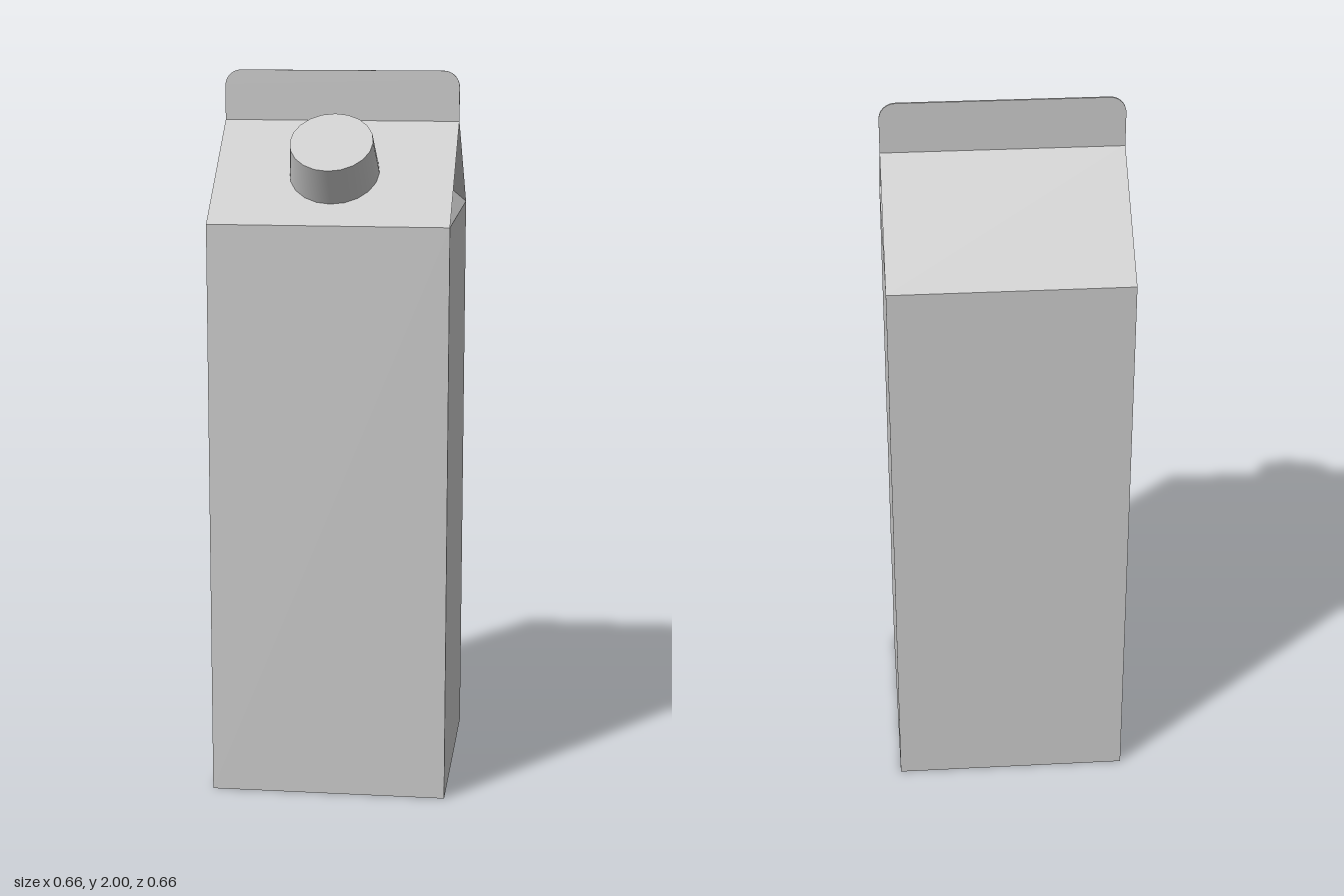
import * as THREE from 'three';

const HALF = 0.328; // half width of the square carton
const EAVE = 1.605; // top of the straight walls
const RIDGE = 1.863; // height of the gable ridge
const FOLD = 0.08; // how near the centre the side gussets fold in

const grey = () => new THREE.MeshStandardMaterial({ color: 0xcccccc });

function add(parent, name, geometry, material = grey()) {
  const mesh = new THREE.Mesh(geometry, material);
  mesh.name = name;
  parent.add(mesh);
  return mesh;
}

// Thin flat panel from a fan of corners, counter-clockwise from outside
function panel(corners) {
  const points = [];
  for (let i = 1; i < corners.length - 1; i++) {
    points.push(...corners[0], ...corners[i], ...corners[i + 1]);
  }
  const geometry = new THREE.BufferGeometry();
  geometry.setAttribute('position', new THREE.Float32BufferAttribute(points, 3));
  geometry.computeVertexNormals();
  return geometry;
}

export function createModel() {
  const carton = new THREE.Group();
  carton.name = 'carton';
  const card = grey();
  card.side = THREE.DoubleSide;

  // Straight-walled body
  const body = add(carton, 'body', new THREE.BoxGeometry(HALF * 2, EAVE, HALF * 2));
  body.position.y = EAVE / 2;

  // Sloping roof panels, and side gussets folded in beneath them
  const slope = panel([
    [-HALF, EAVE, HALF], [HALF, EAVE, HALF], [HALF, RIDGE, 0], [-HALF, RIDGE, 0],
  ]);
  const gusset = panel([[HALF, EAVE, HALF], [HALF, EAVE, -HALF], [FOLD, RIDGE, 0]]);
  for (const [side, turn] of [['front', 0], ['back', Math.PI]]) {
    add(carton, side + 'Roof', slope, card).rotation.y = turn;
  }
  for (const [side, turn] of [['left', 0], ['right', Math.PI]]) {
    add(carton, side + 'Gusset', gusset, card).rotation.y = turn;
  }

  // Upright sealed fin with rounded upper corners
  const r = 0.045;
  const outline = new THREE.Shape();
  outline.moveTo(-HALF, RIDGE - 0.003);
  outline.lineTo(HALF, RIDGE - 0.003);
  outline.lineTo(HALF, 2 - r);
  outline.absarc(HALF - r, 2 - r, r, 0, Math.PI / 2, false);
  outline.absarc(-HALF + r, 2 - r, r, Math.PI / 2, Math.PI, false);
  outline.closePath();
  const fin = new THREE.ExtrudeGeometry(outline, { depth: 0.006, bevelEnabled: false, curveSegments: 6 });
  add(carton, 'topFin', fin).position.z = -0.004;

  // Tapered screw cap standing square to the front roof panel
  const height = 0.112;
  const normal = new THREE.Vector3(0, HALF, RIDGE - EAVE).normalize();
  const capZ = 0.166;
  const seat = new THREE.Vector3(0, RIDGE - (capZ * (RIDGE - EAVE)) / HALF, capZ);
  const cap = add(carton, 'screwCap', new THREE.CylinderGeometry(0.113, 0.123, height, 20));
  cap.position.copy(seat).addScaledVector(normal, height / 2);
  cap.quaternion.setFromUnitVectors(new THREE.Vector3(0, 1, 0), normal);

  return carton;
}
